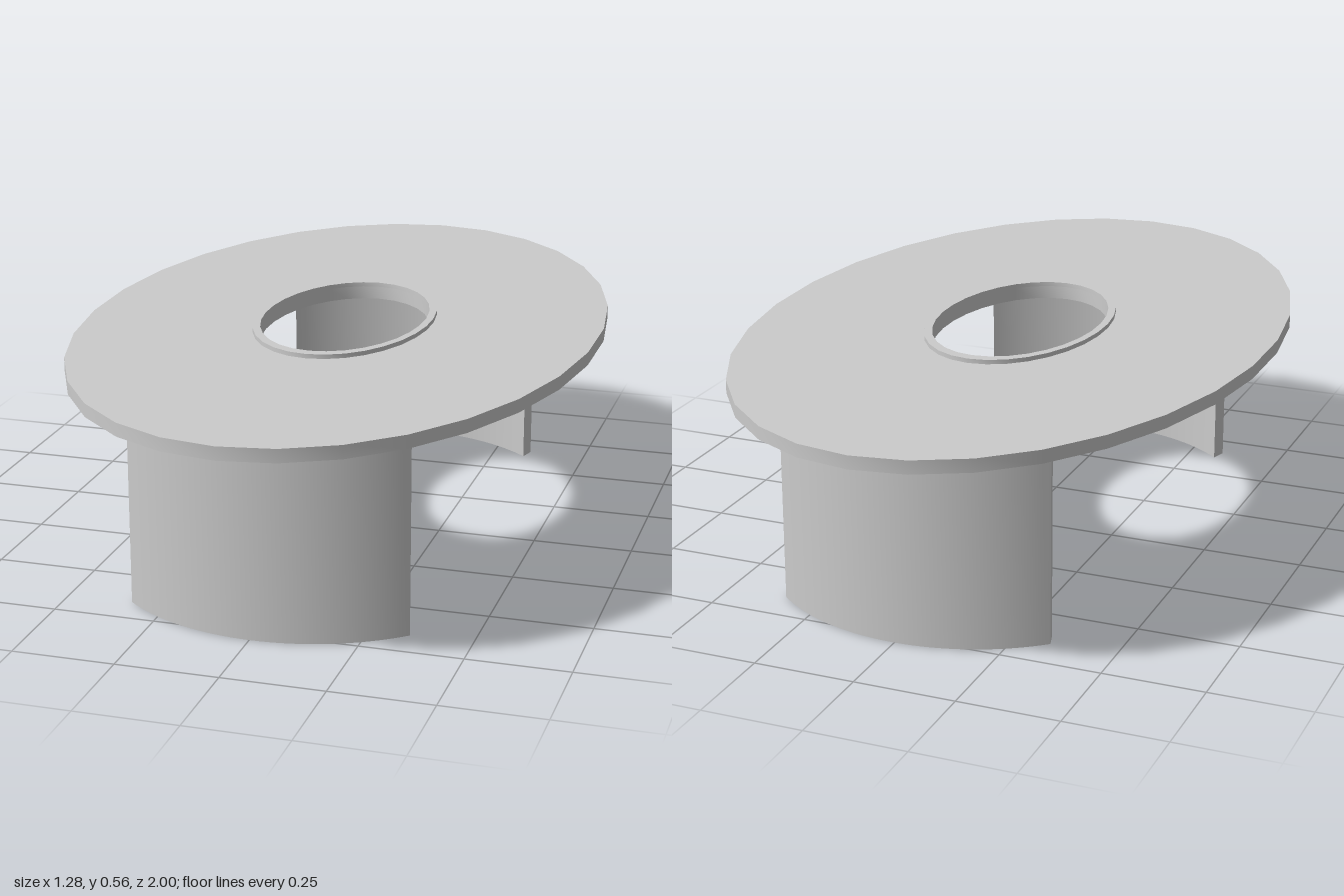
import * as THREE from 'three';
import { toCreasedNormals } from 'three/addons/utils/BufferGeometryUtils.js';

const material = new THREE.MeshStandardMaterial({ color: 0xcccccc });
const SQUASH = 0.645; // width of the oval relative to its length

function part(name, geometry) {
  const mesh = new THREE.Mesh(toCreasedNormals(geometry, Math.PI / 6), material);
  mesh.name = name;
  return mesh;
}

// Oval ring with a rectangular section, radii measured along z
function ovalRing(inner, outer, y0, y1) {
  const profile = [[outer, y0], [outer, y1], [inner, y1], [inner, y0], [outer, y0]]
    .map(([r, y]) => new THREE.Vector2(r, y));
  return new THREE.LatheGeometry(profile, 30).scale(SQUASH, 1, 1);
}

// Curved panel whose convex side points to -z
function curvedPanel(height) {
  const shape = new THREE.Shape();
  const mid = Math.PI / 2;
  const outerHalf = Math.asin(0.344 / 0.52);
  const innerHalf = Math.asin(0.332 / 0.489);
  shape.absarc(0, 0.266, 0.52, mid - outerHalf, mid + outerHalf, false);
  shape.absarc(0, 0.257, 0.489, mid + innerHalf, mid - innerHalf, true);
  return new THREE.ExtrudeGeometry(shape, { depth: height, bevelEnabled: false, curveSegments: 16 })
    .rotateX(-Math.PI / 2);
}

export function createModel() {
  const model = new THREE.Group();
  model.name = 'ovalTable';

  // Top with its oval opening and the thin raised lip around it
  model.add(part('tabletop', ovalRing(0.315, 1, 0.513, 0.546)));
  model.add(part('openingLip', ovalRing(0.315, 0.343, 0.546, 0.557)));

  // Two curved legs facing away from each other
  for (const [name, turn] of [['frontLeg', Math.PI], ['backLeg', 0]]) {
    const leg = part(name, curvedPanel(0.513));
    leg.rotation.y = turn;
    leg.position.set(0.005, 0, 0.003);
    model.add(leg);
  }
  return model;
}
